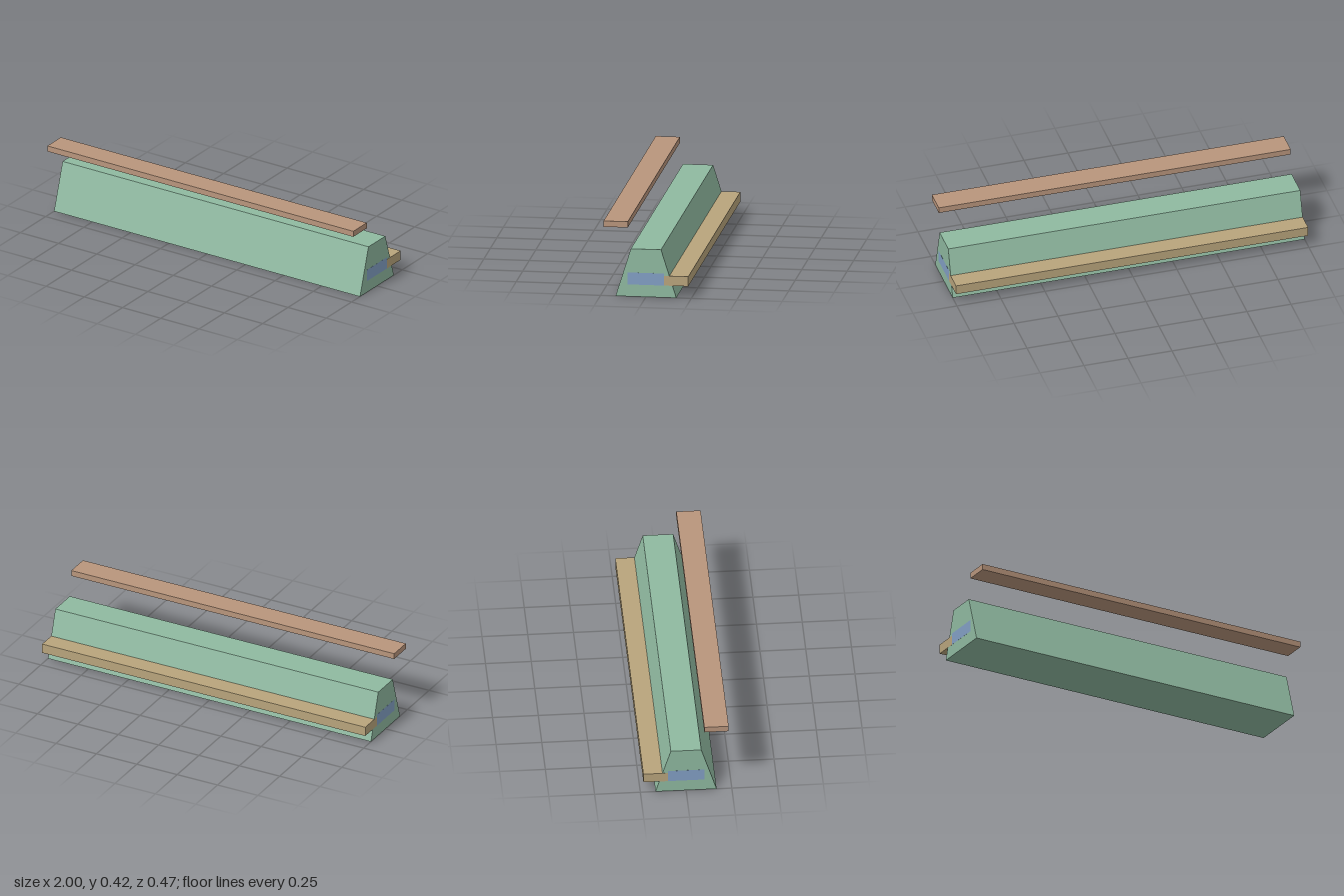
import * as THREE from 'three';

const LENGTH = 2;

function addPart(group, name, geometry, color) {
  const material = new THREE.MeshStandardMaterial({ color, flatShading: true });
  const mesh = new THREE.Mesh(geometry, material);
  mesh.name = name;
  group.add(mesh);
  return mesh;
}

// Long bar along x, given its extents in y and z
function addBar(group, name, [y0, y1], [z0, z1], color, length = LENGTH) {
  const bar = addPart(group, name, new THREE.BoxGeometry(length, y1 - y0, z1 - z0), color);
  bar.position.set(0, (y0 + y1) / 2, (z0 + z1) / 2);
}

export function createModel() {
  const model = new THREE.Group();
  model.name = 'barrier';

  // Tapered body: trapezoid section swept along x
  const section = new THREE.Shape([
    new THREE.Vector2(-0.167, 0),
    new THREE.Vector2(0.167, 0),
    new THREE.Vector2(0.083, 0.267),
    new THREE.Vector2(-0.083, 0.267),
  ]);
  const body = new THREE.ExtrudeGeometry(section, { depth: LENGTH, bevelEnabled: false });
  body.translate(0, 0, -LENGTH / 2);
  body.rotateY(Math.PI / 2);
  addPart(model, 'body', body, 0x8fb9a0);

  // Inset core and rear rail end a hair proud of the body to avoid flicker
  const proud = LENGTH + 0.001;
  addBar(model, 'core', [0.067, 0.134], [-0.1, 0.1], 0x829fc4, proud);
  addBar(model, 'rearRail', [0.067, 0.121], [-0.233, -0.1], 0xb8a47c, proud);

  // Floating front rail above the body
  addBar(model, 'frontRail', [0.385, 0.418], [0.1, 0.233], 0xb8957c);

  return model;
}
